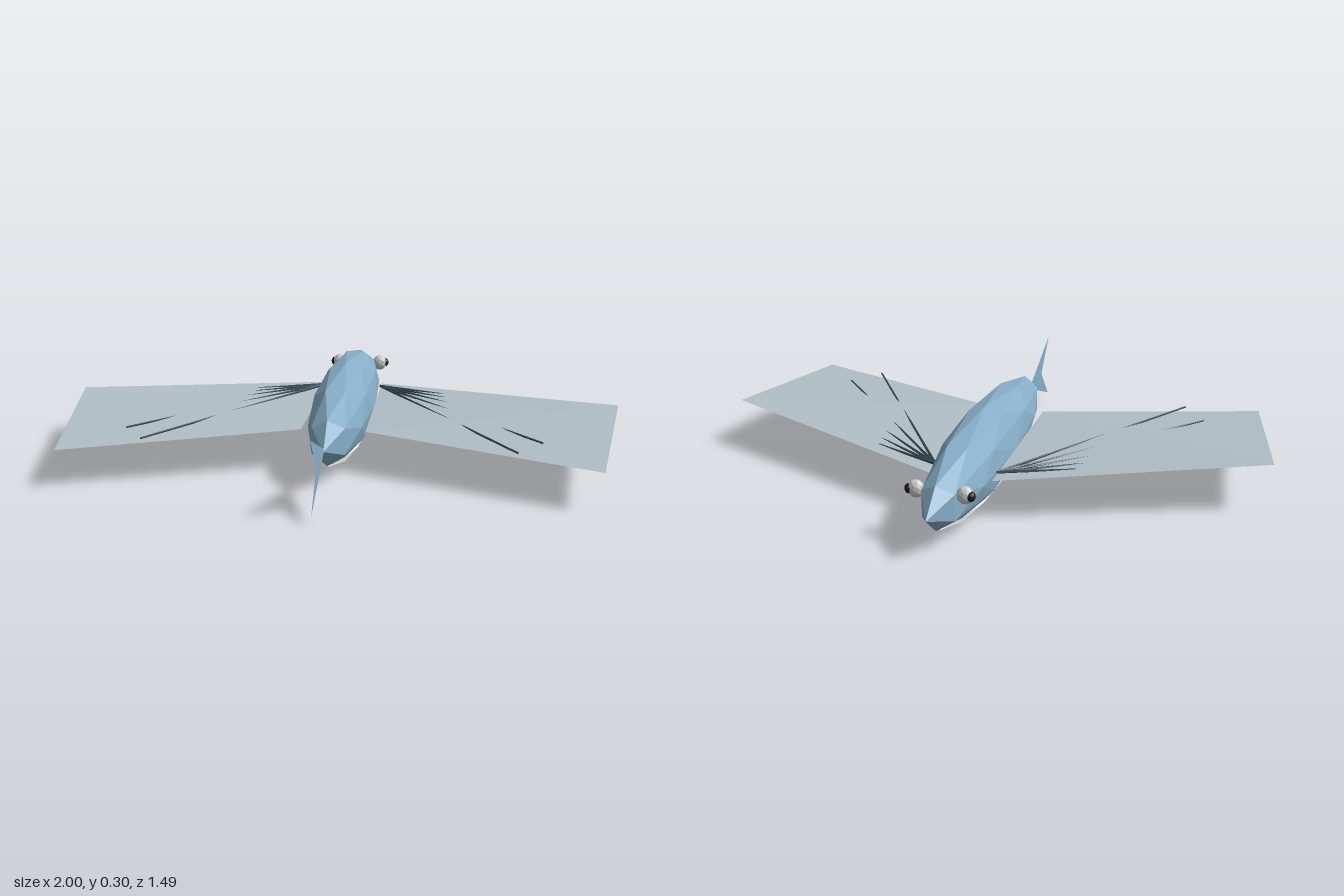
import * as THREE from 'three';

const paint = (color, extra = {}) =>
  new THREE.MeshStandardMaterial({ color, flatShading: true, ...extra });

const MID_Z = -0.135; // middle of the body along its length

const skin = paint(0x87aec8);
const finSkin = paint(0x87aec8, { side: THREE.DoubleSide });
const wingSkin = paint(0xb0bec5, { side: THREE.DoubleSide });
const rayDark = paint(0x37474f);
const bellyPale = paint(0xdde3e6);
const eyeWhite = paint(0xf2f2f2);
const pupilBlack = paint(0x1a1a1a);

function part(name, geometry, material) {
  const mesh = new THREE.Mesh(geometry, material);
  mesh.name = name;
  return mesh;
}

// Faceted ellipsoid with the given half sizes
function ellipsoid(name, material, half, position, detail = 1) {
  const mesh = part(name, new THREE.IcosahedronGeometry(1, detail), material);
  mesh.scale.set(...half);
  mesh.position.set(...position);
  return mesh;
}

// Thin rod tapering from a to b
function rod(name, a, b, r) {
  const dir = b.clone().sub(a);
  const mesh = part(name, new THREE.CylinderGeometry(r * 0.7, r, dir.length(), 5), rayDark);
  mesh.position.copy(a).addScaledVector(dir, 0.5);
  mesh.quaternion.setFromUnitVectors(new THREE.Vector3(0, 1, 0), dir.normalize());
  return mesh;
}

// Slightly twisted four-cornered wing sheet
function wingGeometry() {
  const rootFront = [0.11, 0.152, -0.41];
  const rootBack = [0.113, 0.15, 0.235];
  const tipFront = [1, 0.187, -0.08];
  const tipBack = [0.9, 0.135, 0.52];
  const g = new THREE.BufferGeometry();
  g.setAttribute('position', new THREE.Float32BufferAttribute(
    [rootFront, rootBack, tipFront, tipFront, rootBack, tipBack].flat(), 3));
  g.computeVertexNormals();
  return g;
}

// Everything that sits on one side of the body
function createSide(name) {
  const side = new THREE.Group();
  side.name = name;
  side.add(part('wingFin', wingGeometry(), wingSkin));

  // Fin rays fanning out from the wing root
  const start = new THREE.Vector3(0.11, 0.158, -0.35);
  const rayEnds = [[0.955, -0.026], [0.87, 0.08], [0.795, 0.19], [0.715, 0.31], [0.63, 0.425]];
  for (const [x, z] of rayEnds) {
    side.add(rod('finRay', start, new THREE.Vector3(x, 0.158, z), 0.005));
  }

  // Eye
  side.add(ellipsoid('eye', eyeWhite, [0.029, 0.032, 0.023], [0.083, 0.19, -0.607]));
  side.add(ellipsoid('pupil', pupilBlack, [0.016, 0.018, 0.016], [0.104, 0.19, -0.612]));
  return side;
}

export function createModel() {
  const model = new THREE.Group();
  model.name = 'flyingFish';

  model.add(ellipsoid('body', skin, [0.113, 0.151, 0.61], [0, 0.151, MID_Z]));
  model.add(ellipsoid('belly', bellyPale, [0.087, 0.03, 0.48], [0, 0.055, MID_Z]));

  // Forked tail, upright in the middle plane (shape x is z)
  const fork = new THREE.Shape([
    [0.45, 0.152], [0.745, 0.027], [0.635, 0.152], [0.745, 0.278],
  ].map(([z, y]) => new THREE.Vector2(z, y)));
  const tail = part('tailFin', new THREE.ShapeGeometry(fork), finSkin);
  tail.rotation.y = -Math.PI / 2;
  model.add(tail);

  const left = createSide('leftSide');
  const right = createSide('rightSide');
  right.scale.x = -1;
  model.add(left, right);
  return model;
}
